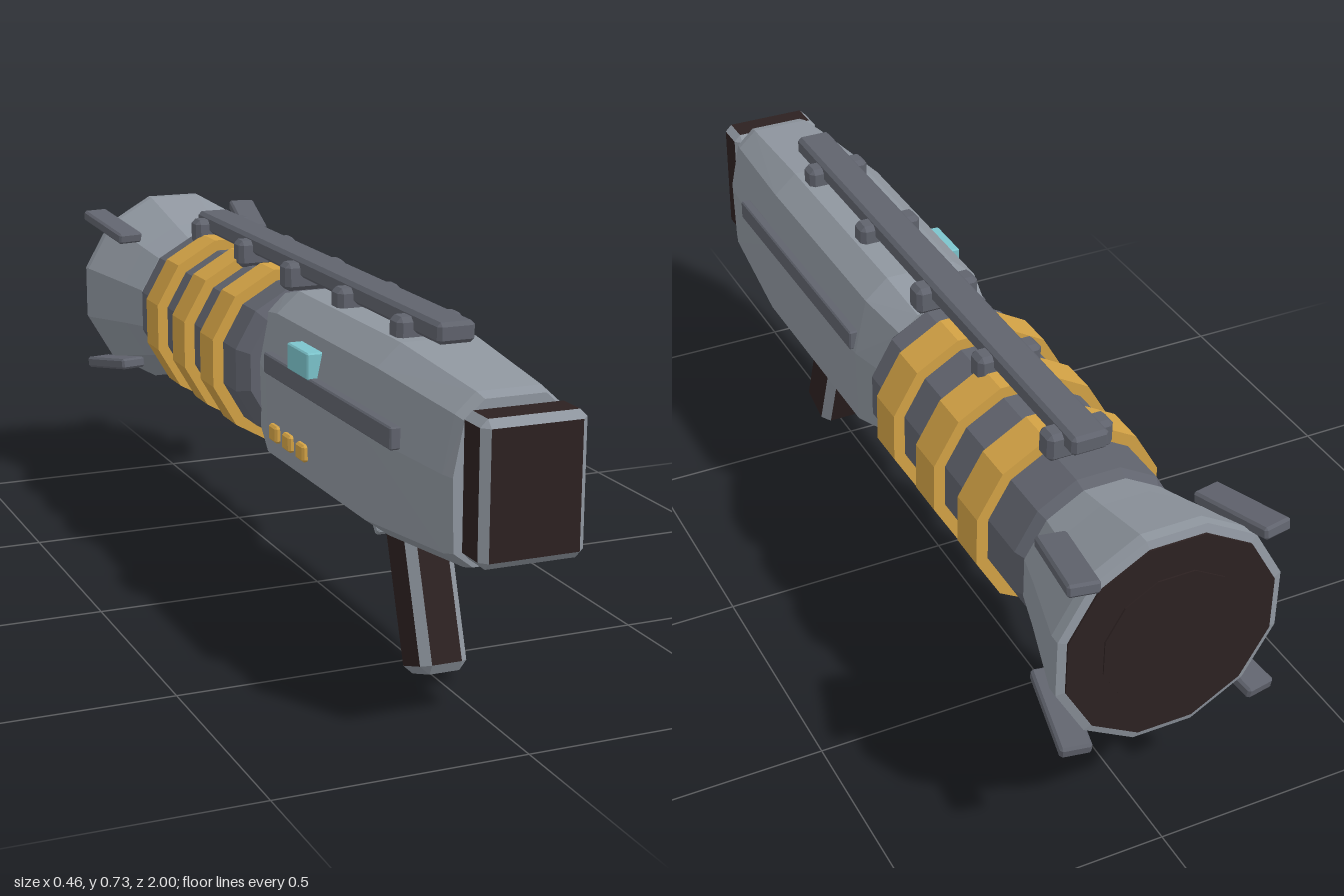
import * as THREE from 'three';
import { ConvexGeometry } from 'three/addons/geometries/ConvexGeometry.js';

const mat = (name, color) => Object.assign(new THREE.MeshStandardMaterial({ color }), { name });

export function createModel() {
  const root = new THREE.Group();
  root.name = 'launcher';
  const light = mat('light grey metal', 0x8f969f);
  const dark = mat('dark grey metal', 0x60636d);
  const gold = mat('gold', 0xd3a245);
  const brown = mat('dark brown', 0x2c2121);
  const cyan = mat('cyan', 0x7cc4cc);
  const AXIS = 0.497;

  const add = (name, geo, material, x = 0, y = 0, z = 0) => {
    const mesh = new THREE.Mesh(geo, material);
    mesh.name = name;
    mesh.position.set(x, y, z);
    root.add(mesh);
    return mesh;
  };

  // box with bevelled edges: material group 0 = flat faces, 1 = bevels
  const bevelBox = (w, h, d, b) => {
    const pts = [];
    for (const sx of [-1, 1]) for (const sy of [-1, 1]) for (const sz of [-1, 1]) {
      const x = sx * w / 2, y = sy * h / 2, z = sz * d / 2;
      pts.push(new THREE.Vector3(x, y - sy * b, z - sz * b));
      pts.push(new THREE.Vector3(x - sx * b, y, z - sz * b));
      pts.push(new THREE.Vector3(x - sx * b, y - sy * b, z));
    }
    const geo = new ConvexGeometry(pts);
    const n = geo.attributes.normal;
    for (let i = 0; i < n.count; i += 3) {
      const flat = Math.max(Math.abs(n.getX(i)), Math.abs(n.getY(i)), Math.abs(n.getZ(i))) > 0.99;
      geo.addGroup(i, 3, flat ? 0 : 1);
    }
    return geo;
  };

  // twelve-sided turned part along z; profile = [flat radius, z] going backwards
  const turned = (name, profile, material) => {
    const pts = profile.map(([r, z]) => new THREE.Vector2(r / Math.cos(Math.PI / 12), -z));
    const geo = new THREE.LatheGeometry(pts, 12, Math.PI / 12).rotateX(-Math.PI / 2).toNonIndexed();
    geo.computeVertexNormals();
    return add(name, geo, material, 0, AXIS, 0);
  };

  // faceted body: one half section scaled along z
  const half = [[0.078, 0.192], [0.128, 0.148], [0.155, 0.023], [0.15, -0.148], [0.1, -0.185]];
  const stations = [[0.915, 0.78, 0.82], [0.888, 0.83, 0.86], [0.6, 1, 1], [0.09, 1, 1], [-0.03, 0.8, 0.85]];
  const bodyPts = [];
  for (const [z, sx, sy] of stations) for (const [x, y] of half) for (const s of [-1, 1]) {
    bodyPts.push(new THREE.Vector3(s * x * sx, AXIS + y * sy, z));
  }
  add('body', new ConvexGeometry(bodyPts), light);

  // shoulder pad
  add('shoulderPad', bevelBox(0.21, 0.274, 0.09, 0.015), [brown, light], 0, 0.502, 0.955);

  // barrel, gold rings and flared exhaust
  turned('barrel', [[0, -0.01], [0.15, -0.01], [0.173, -0.04], [0.173, -0.69], [0.155, -0.73], [0, -0.73]], dark);
  for (const z of [-0.16, -0.35, -0.54]) {
    turned('ring', [[0.165, z + 0.042], [0.197, z + 0.042], [0.197, z - 0.042], [0.165, z - 0.042]], gold);
  }
  turned('flare', [[0.14, -0.715], [0.165, -0.715], [0.185, -0.79], [0.231, -0.945], [0.231, -0.968], [0.215, -0.972], [0, -0.972]], light);
  turned('flareCap', [[0.214, -0.97], [0.214, -0.976], [0, -0.976]], brown);
  turned('flareCore', [[0.14, -0.975], [0.14, -0.979], [0, -0.979]], brown);

  // four fins splayed around the flare
  for (const sx of [-1, 1]) for (const sy of [-1, 1]) {
    const near = new THREE.Vector3(sx * 0.162, AXIS + sy * 0.157, -0.805);
    const far = new THREE.Vector3(sx * 0.197, AXIS + sy * 0.19, -0.995);
    const fin = add('fin', bevelBox(0.062, 0.026, near.distanceTo(far), 0.005), dark);
    fin.position.copy(near).lerp(far, 0.5);
    fin.lookAt(far);
  }

  // top rail and its clamps
  add('rail', bevelBox(0.078, 0.042, 1.34, 0.008), dark, 0, 0.717, 0.01);
  for (const z of [-0.6, -0.31, -0.025, 0.26, 0.545]) {
    add('railClamp', bevelBox(0.14, 0.06, 0.05, 0.01), dark, 0, 0.698, z);
  }

  // side strips
  for (const s of [-1, 1]) {
    add('sideStrip', bevelBox(0.022, 0.044, 0.64, 0.003), dark, s * 0.152, 0.546, 0.42);
  }

  // indicator and buttons on the right side
  add('indicator', bevelBox(0.036, 0.055, 0.11, 0.003), cyan, -0.148, 0.592, 0.295);
  for (const z of [0.145, 0.22, 0.295]) {
    add('button', bevelBox(0.022, 0.036, 0.042, 0.005), gold, -0.152, 0.403, z);
  }

  // grip and trigger
  add('grip', bevelBox(0.1, 0.4, 0.118, 0.018), [brown, light], 0, 0.209, 0.545).rotation.x = -0.33;
  add('trigger', bevelBox(0.022, 0.06, 0.018, 0.004), dark, 0, 0.297, 0.405).rotation.x = -0.25;
  add('triggerGuard', bevelBox(0.036, 0.13, 0.02, 0.004), light, 0, 0.28, 0.318).rotation.x = -0.72;

  return root;
}
